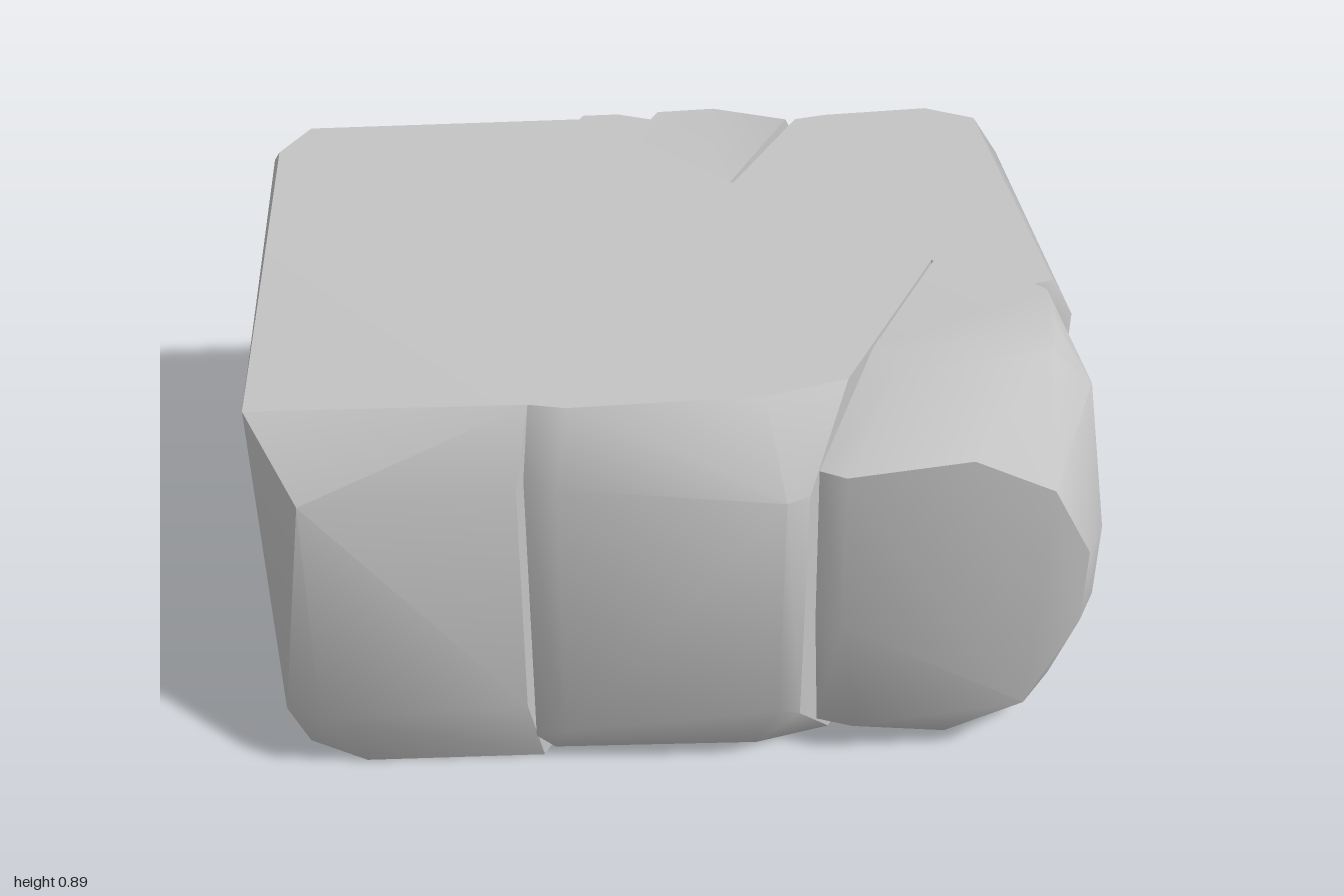
import * as THREE from 'three';
import { ConvexGeometry } from 'three/addons/geometries/ConvexGeometry.js';
import { toCreasedNormals } from 'three/addons/utils/BufferGeometryUtils.js';

const TOP = 0.895;
const stone = new THREE.MeshStandardMaterial({ color: 0xc4c4c4 });
stone.name = 'grey stone';

// Each chunk is the hull of rings of [x, z] corners; a corner may carry its own height.
function chunk(name, rings) {
  const points = [];
  for (const [y, corners] of rings) {
    for (const [x, z, ownY = y] of corners) points.push(new THREE.Vector3(x, ownY, z));
  }
  const geometry = toCreasedNormals(new ConvexGeometry(points), 0.75);
  const mesh = new THREE.Mesh(geometry, stone);
  mesh.name = name;
  return mesh;
}

export function createModel() {
  const group = new THREE.Group();
  group.name = 'rockBlock';

  // Large slab with the long flat side
  group.add(chunk('mainSlab', [
    [0, [[-0.97, 0.0], [-0.96, -0.1], [-0.5, -0.38], [0, -0.28], [0.01, 0.67], [-0.32, 0.84], [-0.46, 0.84]]],
    [0.04, [[-1, 0], [-1, -0.1], [-0.55, 0.78]]],
    [0.19, [[-0.88, -0.25], [-0.6, -0.41], [-0.43, -0.41], [0.01, 0.73], [-0.35, 0.94], [-0.43, 0.94]]],
    [0.73, [[-0.88, -0.26], [-0.8, -0.31], [-0.6, -0.41], [-0.43, -0.41], [0.01, 0.73], [-0.34, 0.94]]],
    [0.86, [[-1, 0], [-1, -0.11], [-0.49, 0.87]]],
    [TOP, [[-0.97, 0.02], [-0.97, -0.11], [-0.43, -0.41], [0, -0.28], [0.01, 0.67]]],
  ]));

  // Middle chunk of the front
  group.add(chunk('middleChunk', [
    [0, [[0, -0.28], [0.52, -0.18], [0.52, 0.34], [0.4, 0.45], [0.02, 0.64]]],
    [0.19, [[0.01, 0.7, 0.08], [0.08, 0.7, 0.12], [0.49, 0.56, 0.22], [0.52, 0.52]]],
    [0.74, [[0.01, 0.7], [0.08, 0.7], [0.49, 0.56], [0.52, 0.52]]],
    [TOP, [[0, -0.28], [0.52, -0.18], [0.52, 0.34], [0.4, 0.46], [0.08, 0.65], [0.01, 0.67]]],
  ]));

  // Rounded corner chunk on the model's left
  group.add(chunk('cornerChunk', [
    [0, [[0.525, 0.32], [0.75, 0.25], [0.78, -0.04], [0.72, -0.15], [0.525, -0.22]]],
    [0.03, [[0.87, 0.14], [0.86, 0]]],
    [0.1, [[0.525, 0.43], [0.6, 0.42], [0.81, -0.13]]],
    [0.19, [[0.92, 0.3], [0.94, 0.19]]],
    [0.4, [[1, 0.25], [1, 0.16], [0.9, -0.03], [0.525, 0.47], [0.58, 0.47]]],
    [0.57, [[1, 0.25], [1, 0.16], [0.9, -0.03]]],
    [0.78, [[0.525, 0.49], [0.58, 0.49], [0.79, 0.38, 0.81], [0.93, 0.3, 0.73]]],
    [0.82, [[0.92, 0.05], [0.81, -0.13]]],
    [TOP, [[0.525, 0.22], [0.6, 0.27], [0.84, 0.08], [0.83, 0.0], [0.77, -0.13], [0.72, -0.15], [0.525, -0.22]]],
  ]));

  // Broad chunk at the back corner
  group.add(chunk('backChunk', [
    [0, [[0.015, -0.2], [0.03, -0.64], [0.28, -0.8], [0.38, -0.8], [0.76, -0.17], [0.7, -0.11]]],
    [0.09, [[0.81, -0.18], [0.45, -0.8]]],
    [0.18, [[0.04, -0.77], [0.1, -0.82]]],
    [0.36, [[0.27, -0.94], [0.34, -0.94], [0.04, -0.8]]],
    [0.57, [[0.27, -0.94], [0.34, -0.94], [0.04, -0.8]]],
    [0.76, [[0.04, -0.76], [0.28, -0.88], [0.36, -0.88]]],
    [0.82, [[0.815, -0.18], [0.79, -0.15], [0.46, -0.8]]],
    [TOP, [[0.015, -0.2], [0.025, -0.62], [0.08, -0.67], [0.28, -0.8], [0.4, -0.8], [0.77, -0.17], [0.72, -0.12]]],
  ]));

  // Narrow chunk beside the back crack
  group.add(chunk('narrowBackChunk', [
    [0, [[-0.28, -0.3], [0.01, -0.2], [0.01, -0.61], [-0.16, -0.58], [-0.28, -0.48]]],
    [0.18, [[-0.28, -0.56], [-0.24, -0.64], [-0.02, -0.77]]],
    [0.45, [[-0.28, -0.62], [-0.02, -0.79], [0.005, -0.78], [0.04, -0.68]]],
    [0.74, [[-0.28, -0.58], [-0.24, -0.64], [-0.02, -0.78]]],
    [TOP, [[-0.28, -0.3], [0.01, -0.2], [0.005, -0.61], [-0.17, -0.59], [-0.28, -0.52]]],
  ]));

  // Two small pebbles wedged in the back notch, flush with the top and the base
  for (const [name, end, dir] of [['upperPebble', TOP, -1], ['lowerPebble', 0, 1]]) {
    group.add(chunk(name, [
      [end, [[-0.43, -0.36], [-0.43, -0.43], [-0.36, -0.47], [-0.27, -0.48], [-0.27, -0.3]]],
      [end + dir * 0.03, [[-0.43, -0.36], [-0.43, -0.44], [-0.35, -0.5], [-0.27, -0.5]]],
      [end + dir * 0.07, [[-0.43, -0.36], [-0.43, -0.44], [-0.35, -0.5], [-0.27, -0.5]]],
      [end + dir * 0.1, [[-0.4, -0.36], [-0.39, -0.42], [-0.34, -0.46], [-0.27, -0.46], [-0.27, -0.3]]],
    ]));
  }

  return group;
}
